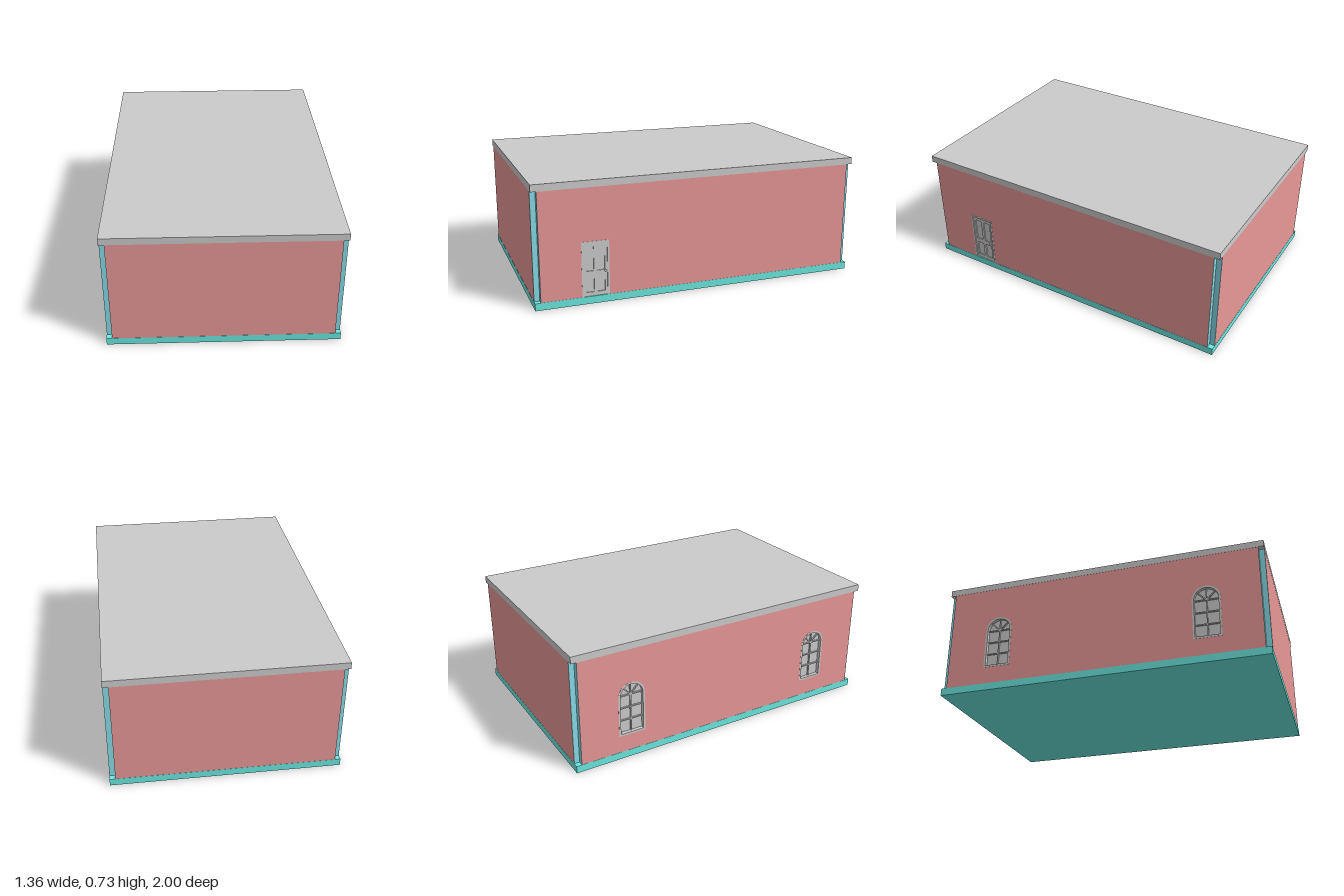
import * as THREE from 'three';

const HX = 0.6765, HZ = 1;            // half width and half length
const BASE = 0.044, EAVE = 0.686, TOP = 0.727;
const NOTCH = 0.033, SKIN = 0.001;    // corner recess and its lining
const INSET = 0.001;                  // wall face behind the base edge

const mat = (color, extra = {}) => new THREE.MeshStandardMaterial({ color, ...extra });
const grey = mat(0xcccccc);
const wallMat = mat(0xe89797);
const baseMat = mat(0x6be8e0);
const postMat = mat(0x86dce8);

function add(parent, name, geometry, material, x = 0, y = 0, z = 0) {
  const m = new THREE.Mesh(geometry, material);
  m.name = name;
  m.position.set(x, y, z);
  parent.add(m);
  return m;
}

const box = (w, h, d) => new THREE.BoxGeometry(w, h, d);
const extrude = (shape, depth) =>
  new THREE.ExtrudeGeometry(shape, { depth, bevelEnabled: false, curveSegments: 16 });

// Outlines in the wall plane: u along the wall, v up
function rect(target, u0, v0, u1, v1) {
  target.moveTo(u0, v0);
  target.lineTo(u1, v0);
  target.lineTo(u1, v1);
  target.lineTo(u0, v1);
  target.closePath();
  return target;
}

function arch(target, u, v0, spring, r) {
  target.moveTo(u - r, v0);
  target.lineTo(u + r, v0);
  target.lineTo(u + r, spring);
  target.absarc(u, spring, r, 0, Math.PI, false);
  target.closePath();
  return target;
}

// One side of the house; local z = 0 is the outer wall face
function makeSide(name, halfLength, distance, angle, holes = []) {
  const side = new THREE.Group();
  side.name = name;
  const half = halfLength - NOTCH - SKIN;
  const shape = rect(new THREE.Shape(), -half, BASE, half, EAVE);
  shape.holes.push(...holes);
  add(side, 'wall', extrude(shape, NOTCH), wallMat, 0, 0, -NOTCH);
  side.rotation.y = angle;
  side.position.set(Math.sin(angle), 0, Math.cos(angle)).multiplyScalar(distance - INSET);
  return side;
}

const WIN = { bottom: 0.15, spring: 0.398, r: 0.084 };

function makeWindow(u) {
  const g = new THREE.Group();
  g.name = 'archedWindow';
  g.position.x = u;
  const { bottom, spring, r } = WIN;
  const ri = r - 0.012, lo = bottom + 0.012;
  const frame = arch(new THREE.Shape(), 0, bottom, spring, r);
  frame.holes.push(arch(new THREE.Path(), 0, lo, spring, ri));
  add(g, 'windowFrame', extrude(frame, 0.026), grey, 0, 0, -0.025);
  add(g, 'windowPane', extrude(arch(new THREE.Shape(), 0, lo, spring, ri), 0.003), grey, 0, 0, -0.024);
  // glazing bars
  const bar = 0.007, z = -0.017;
  add(g, 'mullion', box(bar, spring - lo, 0.01), grey, 0, (spring + lo) / 2, z);
  for (let i = 1; i <= 3; i++) {
    add(g, 'crossBar', box(2 * ri, bar, 0.01), grey, 0, lo + (spring - lo) * i / 3, z);
  }
  for (const a of [-Math.PI / 4, 0, Math.PI / 4]) {
    const b = add(g, 'fanBar', box(bar, ri, 0.01), grey,
      -Math.sin(a) * ri / 2, spring + Math.cos(a) * ri / 2, z);
    b.rotation.z = a;
  }
  return g;
}

const DOOR = { w: 0.163, top: 0.373 };

function makeDoor(u) {
  const g = new THREE.Group();
  g.name = 'door';
  g.position.x = u;
  const h = DOOR.w / 2, hi = h - 0.012, topIn = DOOR.top - 0.012;
  // frame around three sides
  const frame = new THREE.Shape();
  [[-h, BASE], [-hi, BASE], [-hi, topIn], [hi, topIn], [hi, BASE], [h, BASE], [h, DOOR.top], [-h, DOOR.top]]
    .forEach(([x, y], i) => (i ? frame.lineTo(x, y) : frame.moveTo(x, y)));
  add(g, 'doorFrame', extrude(frame, 0.021), grey, 0, 0, -0.02);
  // leaf with four sunk panels
  const leaf = rect(new THREE.Shape(), -hi, BASE, hi, topIn);
  for (const s of [-1, 1]) {
    for (const [v0, v1] of [[0.068, 0.165], [0.195, 0.338]]) {
      const a = s * 0.009, b = s * (hi - 0.014);
      leaf.holes.push(rect(new THREE.Path(), Math.min(a, b), v0, Math.max(a, b), v1));
    }
  }
  add(g, 'doorLeaf', extrude(leaf, 0.006), grey, 0, 0, -0.011);
  add(g, 'doorPanels', box(2 * hi, topIn - BASE, 0.006), grey, 0, (topIn + BASE) / 2, -0.014);
  // handle
  const stem = add(g, 'handleStem', new THREE.CylinderGeometry(0.004, 0.004, 0.012, 12), grey, 0.058, 0.19, -0.001);
  stem.rotation.x = Math.PI / 2;
  add(g, 'doorKnob', new THREE.SphereGeometry(0.007, 16, 10), grey, 0.058, 0.19, 0.001);
  return g;
}

export function createModel() {
  const house = new THREE.Group();
  house.name = 'house';
  const body = new THREE.Group();
  body.name = 'building';
  body.position.x = -0.0035;
  house.add(body);

  add(body, 'basePlate', box(2 * HX, BASE, 2 * HZ), baseMat, 0, BASE / 2, 0);
  add(body, 'roofSlab', box(2 * HX, TOP - EAVE, 2 * HZ), grey, 0, (TOP + EAVE) / 2, 0);

  // plain end walls
  body.add(makeSide('frontSide', HX, HZ, 0));
  body.add(makeSide('backSide', HX, HZ, Math.PI));

  // left side with the door
  const doorU = -0.647;
  const doorHole = rect(new THREE.Path(), doorU - DOOR.w / 2, BASE, doorU + DOOR.w / 2, DOOR.top);
  const doorSide = makeSide('leftSide', HZ, HX, Math.PI / 2, [doorHole]);
  doorSide.add(makeDoor(doorU));
  body.add(doorSide);

  // right side with two arched windows
  const windowUs = [-0.645, 0.65];
  const windowSide = makeSide('rightSide', HZ, HX, -Math.PI / 2,
    windowUs.map(u => arch(new THREE.Path(), u, WIN.bottom, WIN.spring, WIN.r)));
  windowUs.forEach(u => windowSide.add(makeWindow(u)));
  body.add(windowSide);

  // recessed corner posts: a thin lining on both faces of each notch
  const h = EAVE - BASE, y = (EAVE + BASE) / 2;
  for (const sx of [-1, 1]) {
    for (const sz of [-1, 1]) {
      const post = new THREE.Group();
      post.name = 'cornerPost';
      const len = NOTCH + SKIN - INSET;
      add(post, 'postFaceAcross', box(SKIN, h, len), postMat,
        sx * (HX - NOTCH - SKIN / 2), y, sz * (HZ - INSET - len / 2));
      add(post, 'postFaceAlong', box(len, h, SKIN), postMat,
        sx * (HX - INSET - len / 2), y, sz * (HZ - NOTCH - SKIN / 2));
      body.add(post);
    }
  }
  return house;
}
